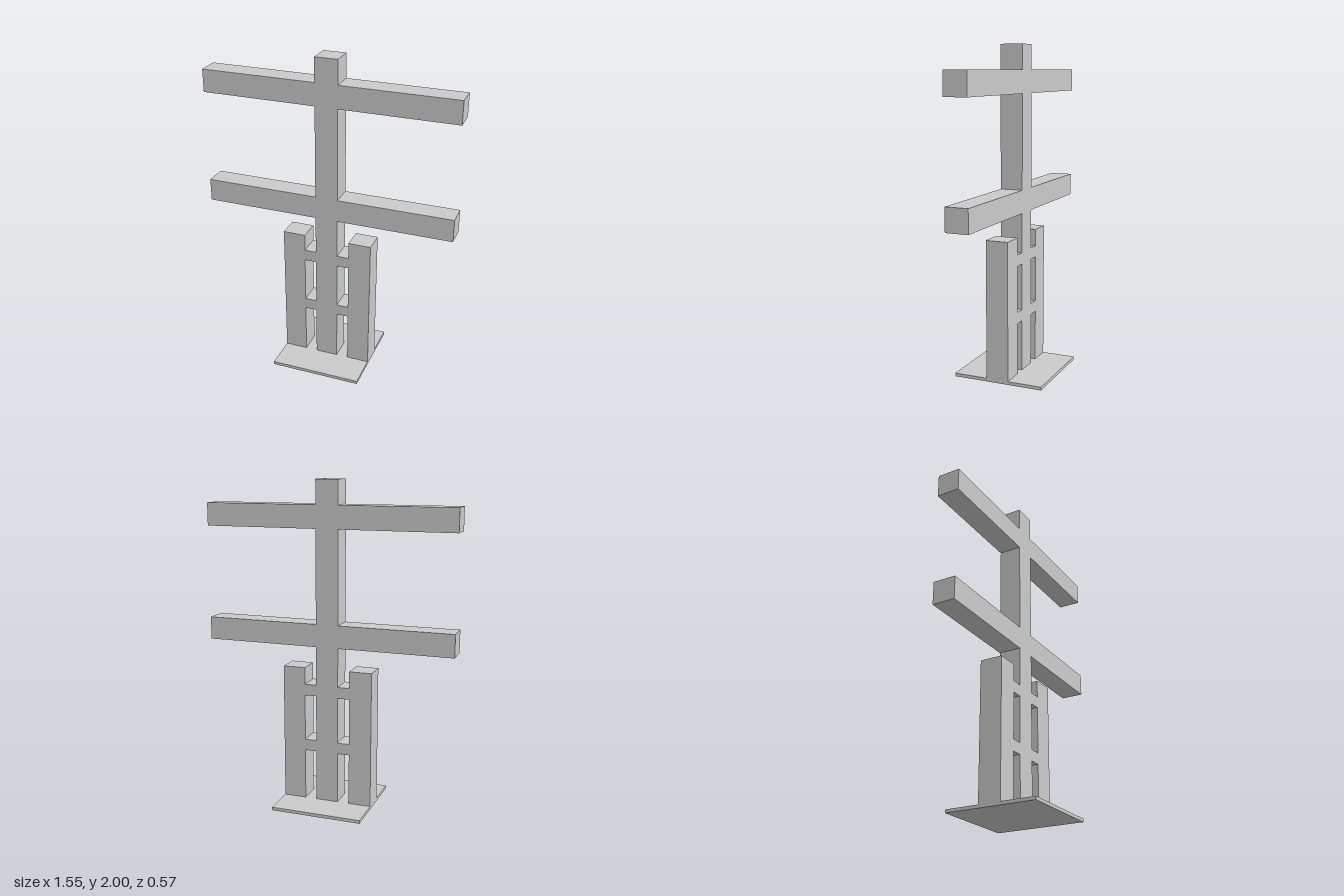
import * as THREE from 'three';

const T = 0.14; // timber thickness
const material = new THREE.MeshStandardMaterial({ color: 0xcccccc, flatShading: true });

// Box spanning x0..x1 and y0..y1, centred on z = 0
function addBox(parent, name, x0, x1, y0, y1, depth = T) {
  const mesh = new THREE.Mesh(new THREE.BoxGeometry(x1 - x0, y1 - y0, depth), material);
  mesh.position.set((x0 + x1) / 2, (y0 + y1) / 2, 0);
  mesh.name = name;
  parent.add(mesh);
}

// Same box on the left (+x) and right (-x)
function addPair(parent, name, x0, x1, y0, y1) {
  addBox(parent, name + 'Left', x0, x1, y0, y1);
  addBox(parent, name + 'Right', -x1, -x0, y0, y1);
}

export function createModel() {
  const group = new THREE.Group();
  group.name = 'utilityPole';
  const half = T / 2, baseTop = 0.02;
  const stubInner = 0.143, stubOuter = 0.283;

  // Ground plate and main pole
  addBox(group, 'basePlate', -stubOuter, stubOuter, 0, baseTop, stubOuter * 2);
  addBox(group, 'mainPole', -half, half, baseTop, 2);

  // Short support posts beside the pole
  addPair(group, 'supportPost', stubInner, stubOuter, baseTop, 0.868);

  // Spacer blocks joining the posts to the pole
  [[0.337, 0.407], [0.693, 0.763]].forEach(([y0, y1], i) =>
    addPair(group, ['lowerSpacer', 'upperSpacer'][i], half, stubInner, y0, y1));

  // Crossarms, one beam on each side of the pole
  [1.003, 1.713].forEach((y, i) =>
    addPair(group, ['lowerCrossarm', 'upperCrossarm'][i], half, 0.777, y, y + T));

  return group;
}
